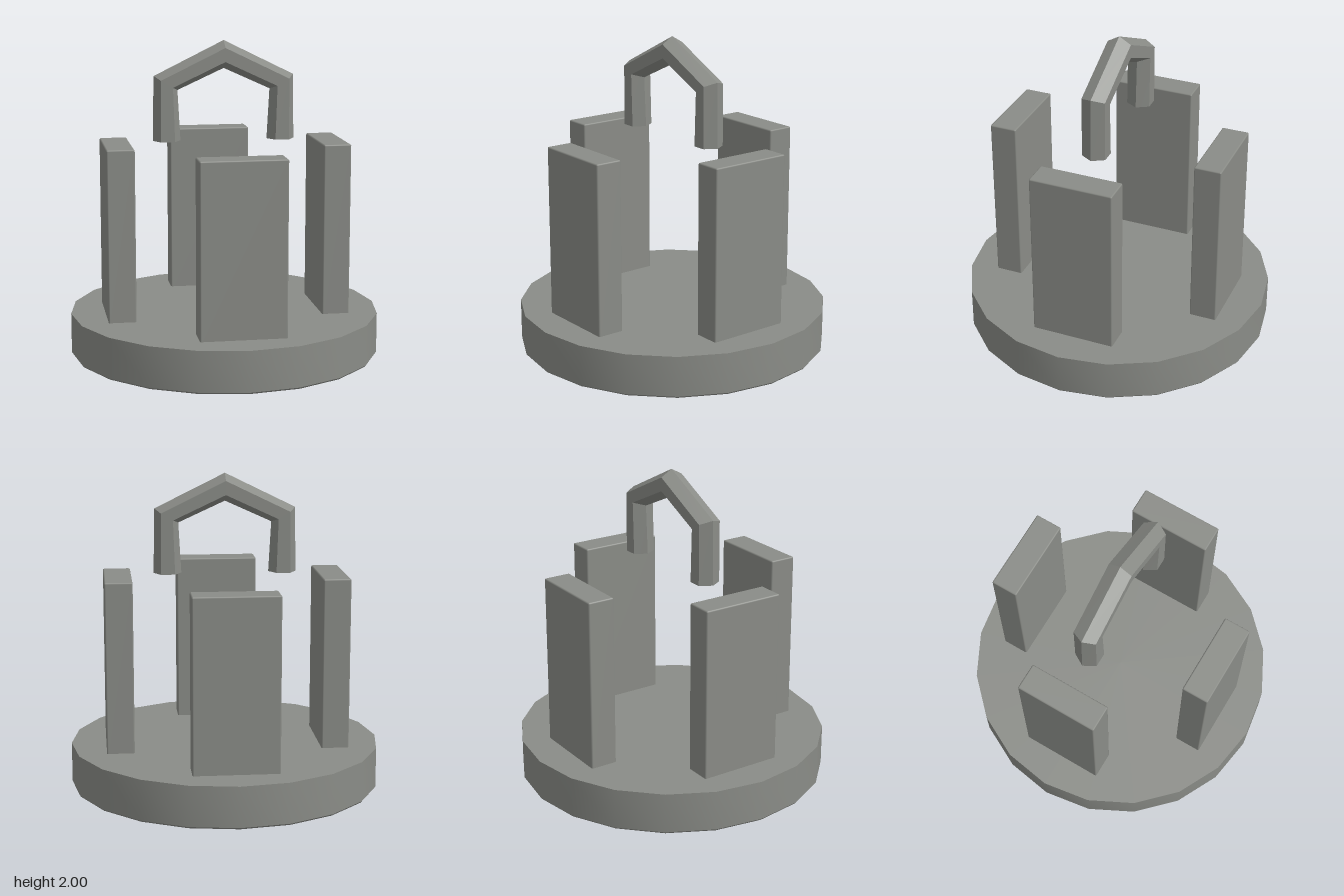
import * as THREE from 'three';
import { toCreasedNormals } from 'three/addons/utils/BufferGeometryUtils.js';
import { RoundedBoxGeometry } from 'three/addons/geometries/RoundedBoxGeometry.js';

// Hexagonal bar swept through stations [x, y, angle of the outward ridge]
function hexBar(stations, radius) {
  const sides = 6, pos = [], index = [];
  for (const [x, y, angle] of stations) {
    for (let i = 0; i < sides; i++) {
      const t = (i / sides) * Math.PI * 2;
      const out = Math.cos(t) * radius;
      pos.push(x + Math.cos(angle) * out, y + Math.sin(angle) * out, Math.sin(t) * radius);
    }
  }
  const last = (stations.length - 1) * sides;
  for (let s = 0; s < last; s += sides) {
    for (let i = 0; i < sides; i++) {
      const j = (i + 1) % sides;
      index.push(s + i, s + sides + i, s + j, s + j, s + sides + i, s + sides + j);
    }
  }
  // end caps
  for (let i = 1; i < sides - 1; i++) {
    index.push(0, i, i + 1, last, last + i + 1, last + i);
  }
  const geo = new THREE.BufferGeometry();
  geo.setAttribute('position', new THREE.Float32BufferAttribute(pos, 3));
  geo.setIndex(index);
  return toCreasedNormals(geo, 0.5);
}

export function createModel() {
  const model = new THREE.Group();
  model.name = 'pillaredStand';
  const stone = new THREE.MeshStandardMaterial({ color: 0x8a8c87 });
  stone.name = 'stone grey';

  const add = (name, geometry, x = 0, y = 0, z = 0) => {
    const mesh = new THREE.Mesh(geometry, stone);
    mesh.name = name;
    mesh.position.set(x, y, z);
    model.add(mesh);
    return mesh;
  };

  // Twenty-sided base, crisp above and barely bevelled below
  const profile = [[0, 0], [0.982, 0], [0.99, 0.01], [0.99, 0.266], [0, 0.266]]
    .map(([r, y]) => new THREE.Vector2(r, y));
  add('base', toCreasedNormals(new THREE.LatheGeometry(profile, 20), 0.5), -0.005, 0, 0);

  // Four slab pillars facing outward
  const pillarGeo = new RoundedBoxGeometry(0.535, 1.115, 0.175, 1, 0.009);
  ['frontPillar', 'leftPillar', 'backPillar', 'rightPillar'].forEach((name, i) => {
    const a = (i * Math.PI) / 2;
    const pillar = add(name, pillarGeo, Math.sin(a) * 0.682 - 0.007, 0.8, Math.cos(a) * 0.682);
    pillar.rotation.y = a;
  });

  // Pointed arch floating above the pillars, left leg to right leg
  const arch = [
    [0.365, 1.37, 0],
    [0.37, 1.735, 0.54],
    [0, 1.912, Math.PI / 2],
    [-0.37, 1.735, Math.PI - 0.54],
    [-0.365, 1.37, Math.PI],
  ];
  add('arch', hexBar(arch, 0.088), -0.007, 0, 0);

  return model;
}
